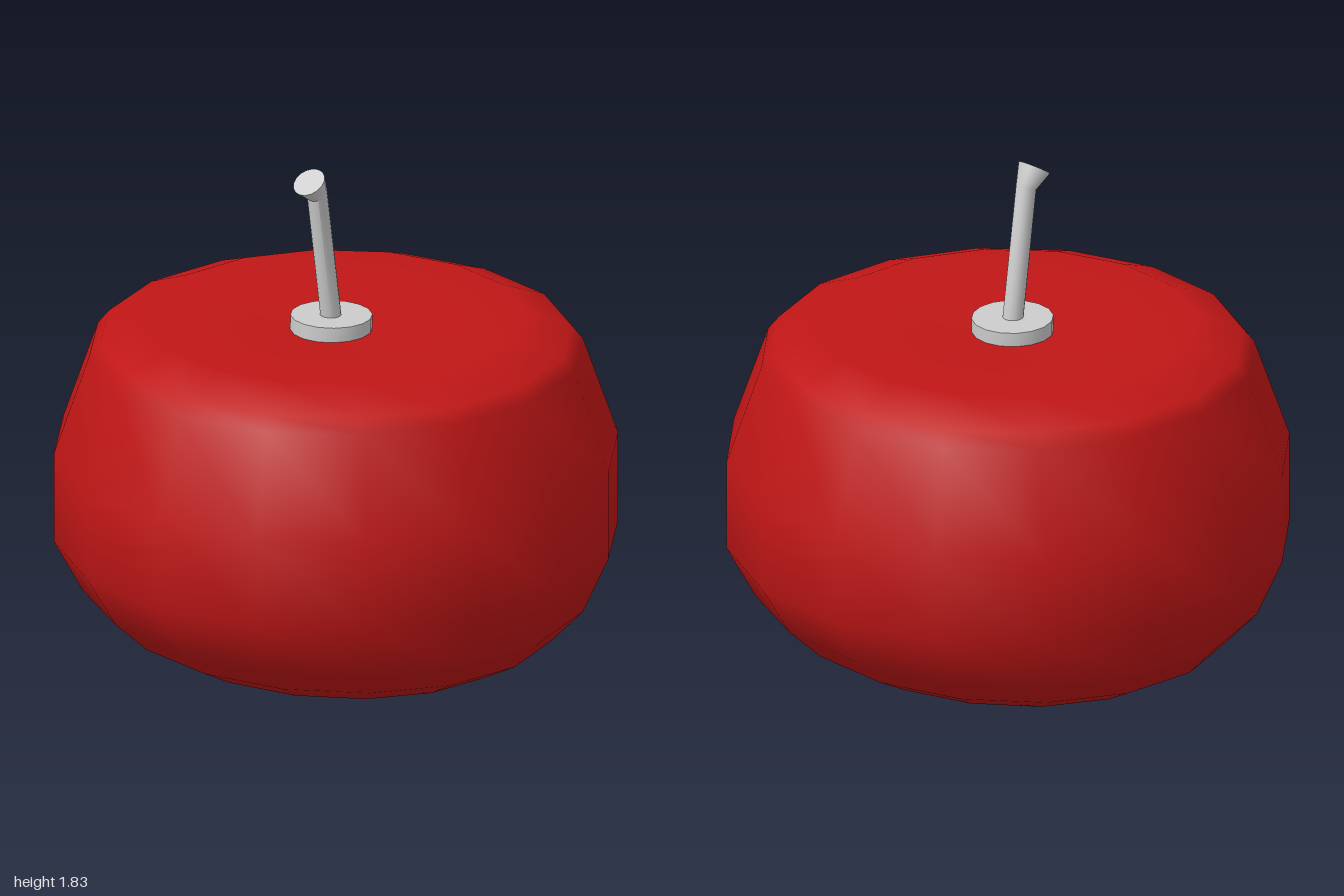
import * as THREE from 'three';
import { toCreasedNormals } from 'three/addons/utils/BufferGeometryUtils.js';

export function createModel() {
  const group = new THREE.Group();
  const red = new THREE.MeshStandardMaterial({ color: 0xc01616 });
  const grey = new THREE.MeshStandardMaterial({ color: 0xcccccc });

  const add = (name, geometry, material) => {
    const mesh = new THREE.Mesh(geometry, material);
    mesh.name = name;
    group.add(mesh);
    return mesh;
  };

  // Body: squat sixteen-sided fruit with a shallow dished top
  const profile = [
    [0, 0], [0.43, 0], [0.6, 0.045], [0.74, 0.12], [0.87, 0.24], [1, 0.44],
    [1, 0.77], [0.875, 1.13], [0.835, 1.18], [0.67, 1.245], [0.3, 1.215], [0, 1.205],
  ].map(([r, y]) => new THREE.Vector2(r, y));
  const body = new THREE.LatheGeometry(profile, 16, THREE.MathUtils.degToRad(2.3));
  // The underside is slightly longer from front to back
  const p = body.attributes.position;
  for (let i = 0; i < p.count; i++) {
    const stretch = 0.12 * THREE.MathUtils.clamp((0.44 - p.getY(i)) / 0.4, 0, 1);
    p.setZ(i, p.getZ(i) * (1 + stretch));
  }
  add('body', body, red);

  // Disc at the foot of the stem, tipped a little
  const disc = add('stemDisc', toCreasedNormals(new THREE.CylinderGeometry(0.145, 0.145, 0.055, 16), 0.7), grey);
  disc.position.set(-0.025, 1.235, 0);
  disc.rotation.z = -0.02;

  // Stem: leaning rod that bends and flares at its tip
  const rings = [
    { x: -0.02, y: 1.21, r: 0.037, tilt: 0.15 },
    { x: -0.1, y: 1.735, r: 0.037, tilt: 0.4 },
    { x: -0.145, y: 1.795, r: 0.06, tilt: 0.6 },
  ];
  const stem = new THREE.CylinderGeometry(1, 1, 2, 16, 2);
  const s = stem.attributes.position;
  for (let i = 0; i < s.count; i++) {
    const { x, y, r, tilt } = rings[Math.round(s.getY(i)) + 1];
    const across = s.getX(i) * r;
    s.setXYZ(i, x + across * Math.cos(tilt), y + across * Math.sin(tilt), s.getZ(i) * r);
  }
  add('stem', toCreasedNormals(stem, 0.7), grey);

  return group;
}
